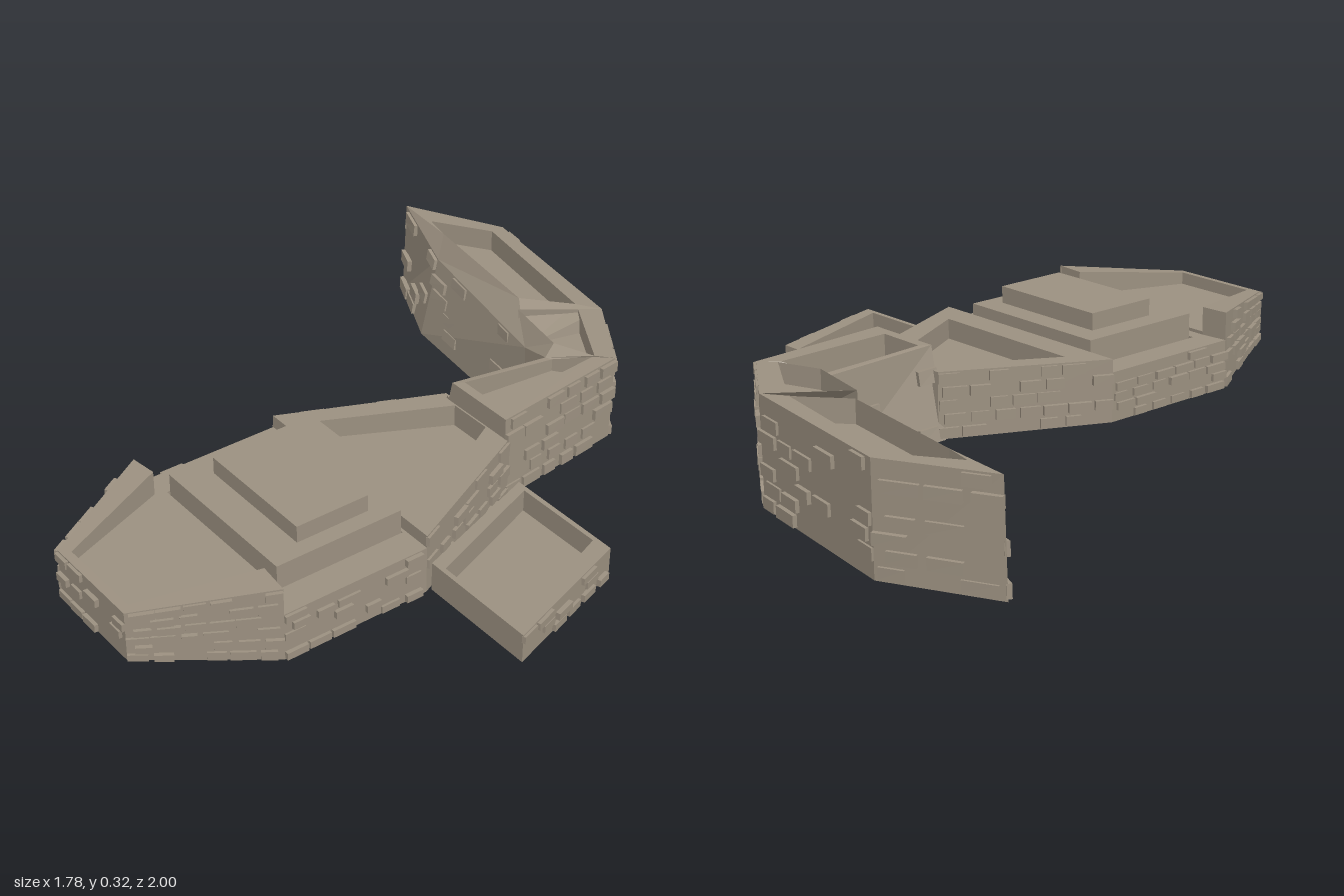
import * as THREE from 'three';
import { mergeGeometries } from 'three/addons/utils/BufferGeometryUtils.js';

const { clamp } = THREE.MathUtils;
const stone = new THREE.MeshStandardMaterial({ color: 0x9b9080, flatShading: true });

// small seeded generator for the brickwork
let seed = 7;
const rand = () => (seed = (seed * 16807) % 2147483647) / 2147483647;

// Closed surface through stacked loops, capped at both ends
function skin(loops) {
  const n = loops[0].length, pos = [], last = loops.length - 1;
  const tri = (...points) => points.forEach(p => pos.push(p.x, p.y, p.z));
  for (let r = 0; r < last; r++) {
    for (let i = 0; i < n; i++) {
      const j = (i + 1) % n, lo = loops[r], hi = loops[r + 1];
      tri(lo[i], lo[j], hi[j]);
      tri(lo[i], hi[j], hi[i]);
    }
  }
  for (let i = 1; i < n - 1; i++) {
    tri(loops[last][0], loops[last][i], loops[last][i + 1]);
    tri(loops[0][0], loops[0][i + 1], loops[0][i]);
  }
  const g = new THREE.BufferGeometry();
  g.setAttribute('position', new THREE.Float32BufferAttribute(pos, 3));
  g.computeVertexNormals();
  return g;
}

// Raised bricks in staggered rows on the wall a0-b0 (foot) to a1-b1 (rim)
function bricks(a0, b0, a1, b1, rows, cols, keep) {
  const normal = b0.clone().sub(a0).cross(a1.clone().sub(a0)).normalize();
  const list = [];
  for (let r = 0; r < rows; r++) {
    for (let c = 0; c < cols; c++) {
      const pick = rand(), du = 0.6 + 0.4 * rand(), out = 0.006 + 0.008 * rand();
      if (pick > keep) continue;
      const uMid = (c + (r % 2 ? 0.65 : 0.4)) / cols, vMid = (r + 0.5) / rows;
      const g = new THREE.BoxGeometry(1, 1, 1), p = g.attributes.position;
      for (let k = 0; k < p.count; k++) {
        const u = clamp(uMid + p.getX(k) * du / cols, 0, 1);
        const v = vMid + p.getY(k) * 0.75 / rows;
        const q = a0.clone().lerp(b0, u).lerp(a1.clone().lerp(b1, u), v);
        q.addScaledVector(normal, p.getZ(k) > 0 ? out : -0.004);
        p.setXYZ(k, q.x, q.y, q.z);
      }
      list.push(g);
    }
  }
  return list;
}

// Hollow-topped section. Outlines are [x, z] corners: front left, front right,
// back right, back left as seen from above. baseY and rimY give heights at (x, z).
// walls: [corner index, rows, columns, share of bricks kept]; openEdge has no rim.
function section(name, { outer, inner, foot = outer, baseY, rimY, crestY = rimY, floorY, walls, openEdge }) {
  const lift = (outline, height) => outline.map(([x, z]) => new THREE.Vector3(x, height(x, z), z));
  const base = lift(foot, baseY), rim = lift(outer, rimY), crest = lift(inner, crestY);
  const floor = lift(inner, () => floorY);
  const wallBricks = walls.flatMap(([i, ...layout]) => {
    const j = (i + 1) % base.length;
    return bricks(base[i], base[j], rim[i], rim[j], ...layout);
  });
  if (openEdge !== undefined) {
    // notch the rim down to the floor between the two inner corners
    const i = openEdge, j = i + 1;
    const notch = [crest[i], floor[i], floor[j], crest[j]];
    rim.splice(j, 0, ...notch);
    crest.splice(j, 0, ...notch);
    base.splice(j, 0, base[i], base[i], base[j], base[j]);
    floor.splice(j, 0, floor[i], floor[i], floor[j], floor[j]);
  }
  const group = new THREE.Group();
  group.name = name;
  const shell = new THREE.Mesh(skin([base, rim, crest, floor]), stone);
  shell.name = 'shell';
  const brickwork = new THREE.Mesh(mergeGeometries(wallBricks), stone);
  brickwork.name = 'bricks';
  group.add(shell, brickwork);
  return group;
}

function block(name, w, h, d, x, y, z) {
  const mesh = new THREE.Mesh(new THREE.BoxGeometry(w, h, d), stone);
  mesh.name = name;
  mesh.position.set(x, y, z);
  return mesh;
}

// height rules shared by several sections
const hullBase = () => 0.05;
const tailBase = (x, z) => (z > -0.5 ? 0.05 : clamp(x * 0.25, 0, 0.05));
const tailRim = (x, z) => (x < 0 && z > -0.8 ? 0.255 : z > -0.7 ? 0.29 : 0.32);
const tailCrest = () => 0.32;

export function createModel() {
  seed = 7;
  const model = new THREE.Group();

  // front basin, open towards the middle deck
  model.add(section('frontBasin', {
    outer: [[-0.04, 0.985], [0.29, 0.985], [0.495, 0.63], [-0.225, 0.63]],
    inner: [[-0.01, 0.96], [0.27, 0.96], [0.395, 0.62], [-0.14, 0.62]],
    baseY: (x, z) => 0.05 + (z - 0.63) * 0.11,
    rimY: (x, z) => 0.285 - (z - 0.63) * 0.113,
    floorY: 0.21, openEdge: 2,
    walls: [[0, 5, 5, 0.4], [1, 6, 6, 0.75], [3, 6, 6, 0.75]],
  }));

  // middle deck with stepped blocks
  model.add(section('middleDeck', {
    outer: [[-0.225, 0.63], [0.495, 0.63], [0.495, 0.16], [-0.225, 0.16]],
    inner: [[-0.14, 0.58], [0.4, 0.58], [0.4, 0.17], [-0.14, 0.17]],
    baseY: hullBase, rimY: () => 0.2, floorY: 0.12,
    walls: [[1, 5, 6, 0.65], [3, 5, 6, 0.65]],
  }));
  model.add(block('lowerBlock', 0.515, 0.17, 0.41, 0.135, 0.185, 0.375));
  model.add(block('upperBlock', 0.395, 0.06, 0.235, 0.143, 0.292, 0.36));

  // basin narrowing to the neck
  model.add(section('taperedBasin', {
    outer: [[-0.225, 0.16], [0.495, 0.16], [0.285, -0.305], [-0.005, -0.305]],
    inner: [[-0.12, 0.07], [0.39, 0.07], [0.2, -0.285], [0.06, -0.285]],
    baseY: hullBase, rimY: (x, z) => 0.243 - z * 0.02, floorY: 0.18,
    walls: [[1, 5, 7, 0.7], [3, 5, 7, 0.7]],
  }));

  // neck, its left wall leaning out at the foot
  model.add(section('neckCorridor', {
    outer: [[0.04, -0.29], [0.28, -0.29], [0.23, -0.75], [0.07, -0.62]],
    inner: [[0.06, -0.32], [0.21, -0.32], [0.185, -0.7], [0.09, -0.63]],
    foot: [[-0.02, -0.29], [0.29, -0.29], [0.235, -0.74], [0.05, -0.62]],
    baseY: tailBase, rimY: (x, z) => (z > -0.5 ? 0.315 : tailRim(x, z)), floorY: 0.25,
    walls: [[1, 6, 6, 0.7], [3, 5, 4, 0.25]],
  }));

  // bend and tail
  model.add(section('bend', {
    outer: [[-0.05, -0.645], [0.07, -0.62], [0.23, -0.75], [0, -0.905]],
    inner: [[-0.15, -0.7], [0.06, -0.66], [0.185, -0.71], [-0.04, -0.845]],
    foot: [[0, -0.62], [0.05, -0.62], [0.235, -0.74], [0, -0.9]],
    baseY: tailBase, rimY: tailRim, crestY: tailCrest, floorY: 0.26,
    walls: [[2, 7, 4, 0.8]],
  }));
  model.add(section('tailBasin', {
    outer: [[-0.87, -0.83], [-0.62, -0.765], [-0.05, -0.645], [0, -0.905], [-0.57, -0.99]],
    inner: [[-0.74, -0.83], [-0.65, -0.81], [-0.2, -0.745], [-0.07, -0.86], [-0.57, -0.945]],
    foot: [[-0.885, -0.83], [-0.62, -0.7], [0, -0.62], [0, -0.9], [-0.57, -0.985]],
    baseY: tailBase, rimY: tailRim, crestY: tailCrest, floorY: 0.25,
    walls: [[0, 6, 3, 0.35], [1, 6, 6, 0.3], [3, 7, 6, 0.5], [4, 7, 3, 0.6]],
  }));

  // slanted tray beside the hull
  model.add(section('sidePod', {
    outer: [[0.505, 0.15], [0.885, 0.15], [0.745, -0.28], [0.36, -0.28]],
    inner: [[0.545, 0.135], [0.84, 0.135], [0.69, -0.265], [0.4, -0.265]],
    baseY: () => 0.06, rimY: () => 0.15, floorY: 0.08,
    walls: [[1, 3, 6, 0.6]],
  }));

  return model;
}
